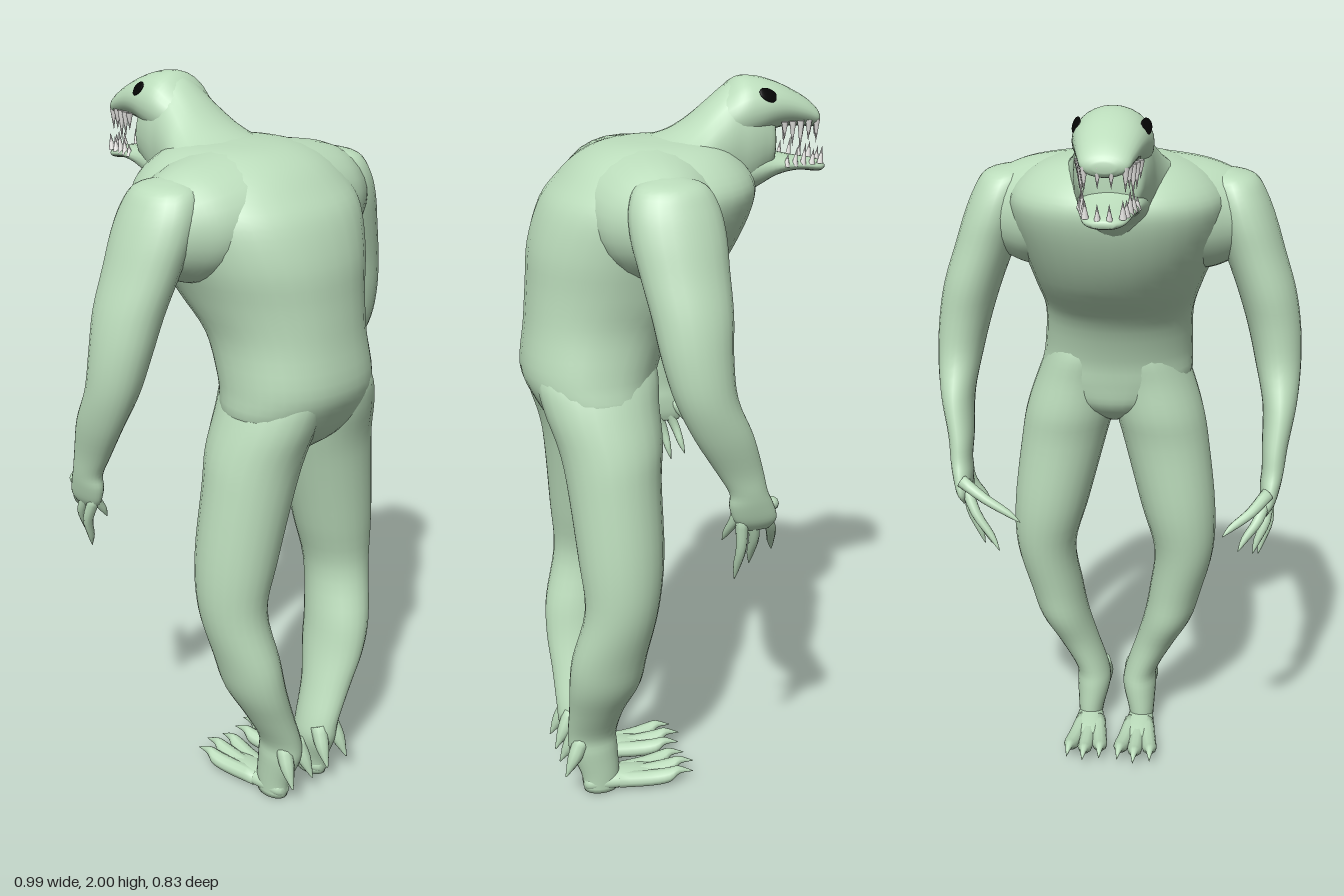
import * as THREE from 'three';

const skin = new THREE.MeshStandardMaterial({ color: 0xbcddbc }); skin.name = 'paleGreenSkin';
const black = new THREE.MeshStandardMaterial({ color: 0x050505 }); black.name = 'eyeBlack';
const ivory = new THREE.MeshStandardMaterial({ color: 0xf0efec }); ivory.name = 'toothIvory';

const X = new THREE.Vector3(1, 0, 0), Y = new THREE.Vector3(0, 1, 0), Z = new THREE.Vector3(0, 0, 1);

// Smooth closed skin through oval sections [x, y, z, radiusU, radiusV]; power below 1 squares the ovals
function loft(rows, u, v, sides = 24, sub = 4, power = 1) {
  const path = new THREE.CatmullRomCurve3(rows.map(r => new THREE.Vector3(r[0], r[1], r[2])), false, 'catmullrom');
  const size = new THREE.CatmullRomCurve3(rows.map(r => new THREE.Vector3(r[3], r[4], 0)), false, 'catmullrom');
  const n = (rows.length - 1) * sub, pos = [], idx = [];
  const swell = t => Math.sign(t) * Math.abs(t) ** power;
  for (let i = 0; i <= n; i++) {
    const c = path.getPoint(i / n), s = size.getPoint(i / n);
    for (let j = 0; j < sides; j++) {
      const a = j / sides * Math.PI * 2;
      const p = c.clone().addScaledVector(u, s.x * swell(Math.cos(a))).addScaledVector(v, s.y * swell(Math.sin(a)));
      pos.push(p.x, p.y, p.z);
    }
  }
  const start = path.getPoint(0), end = path.getPoint(1);
  pos.push(...start.toArray(), ...end.toArray());
  const first = (n + 1) * sides, last = first + 1;
  // Flip the corner order when the path runs against u x v
  const forward = u.clone().cross(v).dot(end.clone().sub(start)) > 0;
  const tri = (a, b, c) => forward ? idx.push(a, b, c) : idx.push(a, c, b);
  for (let j = 0; j < sides; j++) {
    const k = (j + 1) % sides;
    for (let i = 0; i < n; i++) {
      const a = i * sides + j, b = i * sides + k;
      tri(a, b, b + sides);
      tri(a, b + sides, a + sides);
    }
    tri(first, k, j);
    tri(last, n * sides + j, n * sides + k);
  }
  const g = new THREE.BufferGeometry();
  g.setAttribute('position', new THREE.Float32BufferAttribute(pos, 3));
  g.setIndex(idx);
  g.computeVertexNormals();
  return g;
}

// Thin round limb through points [x, y, z, radius]
function digit(points) {
  const d = new THREE.Vector3(...points.at(-1).slice(0, 3)).sub(new THREE.Vector3(...points[0].slice(0, 3))).normalize();
  const u = new THREE.Vector3().crossVectors(Math.abs(d.y) > 0.8 ? Z : Y, d).normalize();
  const v = new THREE.Vector3().crossVectors(d, u);
  return loft(points.map(p => [...p, p[3]]), u, v, 10, 3);
}

export function createModel() {
  const model = new THREE.Group();
  model.name = 'hunchedReptileCreature';
  const add = (name, geometry, material = skin, parent = model) => {
    const m = new THREE.Mesh(geometry, material);
    m.name = name;
    parent.add(m);
    return m;
  };
  const group = name => {
    const g = new THREE.Group();
    g.name = name;
    model.add(g);
    return g;
  };
  const mirrorRows = (rows, s) => rows.map(r => [s * r[0], ...r.slice(1)]);

  // Hunched torso
  add('torso', loft([
    [.024, 1.075, .21, .03, .06], [.024, 1.13, .215, .15, .125], [.022, 1.2, .23, .212, .156],
    [.016, 1.28, .238, .21, .178], [.01, 1.4, .205, .206, .197], [.005, 1.5, .152, .23, .24],
    [0, 1.6, .113, .262, .268], [0, 1.7, .075, .285, .272], [0, 1.76, .052, .275, .248],
    [0, 1.815, .045, .22, .195], [0, 1.847, .035, .14, .13], [0, 1.858, .03, .03, .03],
  ], X, Z, 36, 4, .92));
  // Sloping yoke that joins both shoulders to the ribs
  const yoke = [[.375, 1.69, .09, .02, .03], [.35, 1.69, .09, .08, .085], [.29, 1.687, .095, .125, .122],
    [.22, 1.69, .092, .165, .143], [.11, 1.71, .075, .2, .14]];
  add('shoulders', loft([
    ...mirrorRows(yoke, -1), [0, 1.72, .06, .21, .135], ...yoke.slice().reverse(),
  ], Z, Y, 28));

  // Neck, skull and lower jaw: [z, top, bottom, half width]
  const hx = -.012;
  const headRows = list => list.map(([z, t, b, w]) => [hx, (t + b) / 2, z, w, (t - b) / 2]);
  add('neck', loft(headRows([
    [.14, 1.83, 1.7, .2], [.07, 1.852, 1.67, .215], [0, 1.872, 1.65, .185], [-.05, 1.903, 1.64, .152],
    [-.1, 1.945, 1.64, .124], [-.15, 1.984, 1.655, .105], [-.19, 1.988, 1.685, .097],
    [-.225, 1.965, 1.72, .088], [-.255, 1.925, 1.75, .074], [-.265, 1.9, 1.78, .04],
  ]), X, Y, 28));
  add('skull', loft(headRows([
    [-.07, 1.91, 1.83, .06], [-.13, 1.965, 1.825, .088], [-.17, 1.997, 1.825, .098], [-.21, 2, 1.838, .097],
    [-.255, 1.99, 1.86, .09], [-.3, 1.972, 1.87, .08], [-.35, 1.945, 1.868, .067], [-.38, 1.92, 1.866, .055],
    [-.392, 1.902, 1.878, .025],
  ]), X, Y, 28));
  add('lowerJaw', loft(headRows([
    [-.14, 1.83, 1.685, .09], [-.21, 1.828, 1.712, .086], [-.27, 1.808, 1.745, .077], [-.33, 1.793, 1.757, .066],
    [-.39, 1.782, 1.75, .05], [-.412, 1.772, 1.755, .025],
  ]), X, Y, 28));

  // Teeth follow the edge of each jaw
  const teeth = group('teeth');
  const tooth = (x, y, z, h, up) => {
    const m = add(up ? 'lowerTooth' : 'upperTooth', new THREE.ConeGeometry(.0095, h, 8), ivory, teeth);
    m.position.set(hx + x, y + (up ? h / 2 : -h / 2), z);
    m.rotation.x = up ? -.12 : Math.PI;
  };
  for (const s of [-1, 1]) {
    for (let i = 0; i < 5; i++) {
      const t = i / 4, h = [.045, .065, .08, .055, .06][i];
      tooth(s * (.074 - .026 * t), 1.89, -.278 - .097 * t, h, false);
      tooth(s * (.068 - .024 * t), 1.775, -.29 - .103 * t, h * .75, true);
    }
    tooth(s * .016, 1.89, -.383, .05, false);
    tooth(s * .014, 1.765, -.404, .048, true);
  }

  // Eyes, tilted down toward the snout
  for (const s of [-1, 1]) {
    const eye = add('eye', new THREE.SphereGeometry(1, 20, 12), black);
    eye.scale.set(.0049, .018, .03);
    eye.position.set(hx + s * .083, 1.959, -.23);
    eye.rotation.set(-.35, s * .2, s * .6);
  }

  // Arms with clawed hands; fingers are tips [x, y, z], thumb last
  const fingerTips = {
    '-1': [[.40, .8, -.11], [.385, .82, -.15], [.345, .85, -.205], [.303, .91, -.245], [.385, .9, -.06]],
    '1': [[.365, .77, -.06], [.335, .795, -.11], [.30, .81, -.185], [.24, .9, -.19], [.35, .88, -.03]],
  };
  for (const s of [-1, 1]) {
    const arm = group(s > 0 ? 'leftArm' : 'rightArm');
    const k = s > 0 ? -.012 : 0;
    add('armAndPalm', loft(mirrorRows([
      [.275, 1.808, .09, .02, .03], [.29, 1.79, .09, .065, .085], [.308, 1.745, .088, .078, .11],
      [.33, 1.68, .083, .083, .117], [.358, 1.6, .076, .081, .11], [.393, 1.5, .066, .078, .1],
      [.418, 1.4, .06, .071, .088], [.433, 1.3, .042, .061, .078], [.441 + k / 2, 1.2, -.003, .046, .075],
      [.433 + k, 1.1, -.05, .035, .06], [.43 + k, 1.04, -.075, .03, .05], [.425 + k, 1, -.085, .028, .058],
      [.42 + k, .955, -.1, .02, .056], [.415 + k, .925, -.108, .006, .03],
    ], s), X, Z), skin, arm);
    fingerTips[s].forEach(([x, y, z], i) => {
      const base = i < 4 ? [.418 + k, .97 + i * .008, -.062 - i * .027] : [.422 + k, 1.01, -.055];
      const mid = [base[0] * .5 + x * .5 + .015, base[1] * .5 + y * .5 + .01, base[2] * .5 + z * .5 - .005];
      const tip = [x + (mid[0] - x) * .35, y + (mid[1] - y) * .4, z + (mid[2] - z) * .4];
      add(i < 4 ? 'finger' : 'thumb', digit([
        [s * base[0], base[1], base[2], .018], [s * mid[0], mid[1], mid[2], .014],
        [s * tip[0], tip[1], tip[2], .01], [s * x, y, z, .001],
      ]), skin, arm);
    });
  }

  // Legs and feet, mirrored about a slightly offset middle
  for (const s of [-1, 1]) {
    const leg = group(s > 0 ? 'leftLeg' : 'rightLeg');
    leg.position.x = .025;
    add('thighAndShin', loft(mirrorRows([
      [.06, 1.42, .21, .05, .08], [.07, 1.35, .222, .085, .125], [.085, 1.28, .234, .104, .158],
      [.105, 1.2, .231, .117, .152], [.128, 1.1, .215, .127, .138], [.15, 1, .212, .123, .125],
      [.188, .8, .205, .109, .115], [.207, .65, .21, .088, .1], [.183, .5, .24, .079, .104],
      [.16, .4, .25, .073, .1], [.12, .3, .265, .06, .08], [.079, .2, .272, .05, .071],
      [.073, .14, .268, .052, .07], [.08, .06, .252, .04, .056], [.082, .004, .25, .034, .05],
    ], s), X, Z), skin, leg);
    add('footSole', loft([
      [s * .082, .03, .302, .015, .015], [s * .082, .032, .285, .03, .026], [s * .08, .032, .23, .04, .03],
      [s * .077, .028, .15, .048, .026], [s * .075, .025, .08, .04, .015],
    ], X, Y), skin, leg);
    // Toes ending in raised claws
    for (const d of [-.045, 0, .045]) {
      const x = f => s * (.077 + d * f), dz = d === 0 ? 0 : .015;
      add('toe', digit([
        [x(.5), .03, .2, .025], [x(.8), .027, .11, .024], [x(1), .033, .04 + dz, .022],
        [x(1.05), .046, .01 + dz, .012], [x(1.1), .036, -.032 + dz, .001],
      ]), skin, leg);
    }
    // Heel spurs
    for (const d of [-.034, .034]) {
      add('heelSpur', digit([
        [s * (.073 + d * .7), .19, .305, .024], [s * (.073 + d), .135, .332, .02], [s * (.073 + d * 1.2), .08, .36, .002],
      ]), skin, leg);
    }
  }
  return model;
}
